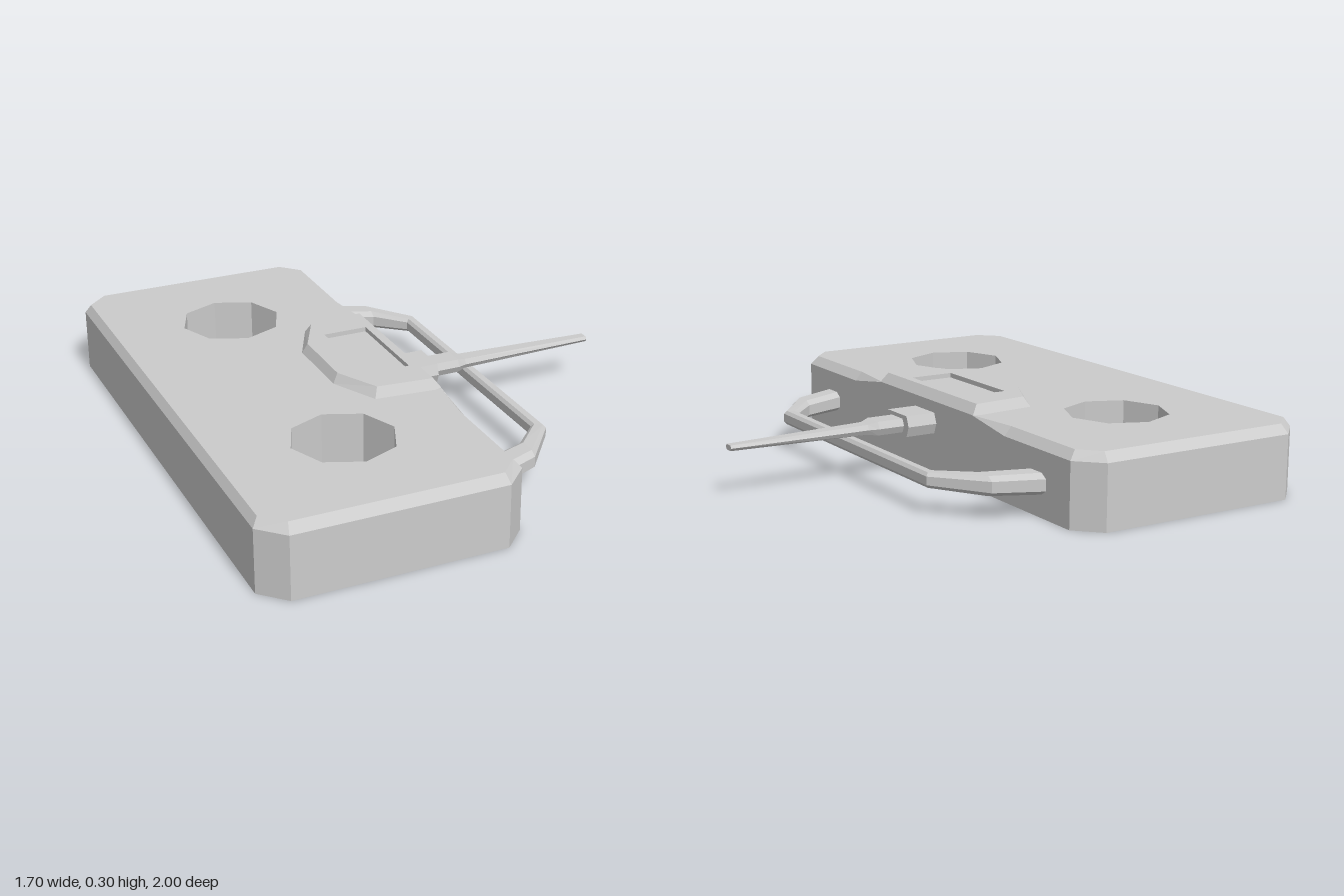
import * as THREE from 'three';

const material = new THREE.MeshStandardMaterial({ color: 0xcccccc, flatShading: true });

// Skin a list of equal rings of [x, y, z]; rings run counterclockwise about the path.
function loft(rings, capStart = false, capEnd = false) {
  const out = [];
  const tri = (a, b, c) => out.push(...a, ...b, ...c);
  const n = rings[0].length;
  for (let r = 0; r < rings.length - 1; r++) {
    const a = rings[r], b = rings[r + 1];
    for (let i = 0; i < n; i++) {
      const j = (i + 1) % n;
      tri(a[i], a[j], b[j]);
      tri(a[i], b[j], b[i]);
    }
  }
  const first = rings[0], last = rings[rings.length - 1];
  for (let i = 1; i < n - 1; i++) {
    if (capStart) tri(first[0], first[i + 1], first[i]);
    if (capEnd) tri(last[0], last[i], last[i + 1]);
  }
  const geometry = new THREE.BufferGeometry();
  geometry.setAttribute('position', new THREE.Float32BufferAttribute(out, 3));
  geometry.computeVertexNormals();
  return geometry;
}

// Upward-facing flat plate bounded by a ring, with optional ring holes.
function plate(ring, holes = []) {
  const points = (r) => r.map(([x, , z]) => new THREE.Vector2(x, -z));
  const shape = new THREE.Shape(points(ring));
  holes.forEach((h) => shape.holes.push(new THREE.Path(points(h))));
  return new THREE.ShapeGeometry(shape).rotateX(-Math.PI / 2).translate(0, ring[0][1], 0);
}

// Complete a half outline (z > 0) with its mirror image.
const mirrored = (half) => [...half, ...half.map(([x, y, z]) => [x, y, -z]).reverse()];
const atHeight = (ring, y) => ring.map(([x, , z]) => [x, y, z]);

function add(parent, name, ...geometries) {
  const group = new THREE.Group();
  group.name = name;
  geometries.forEach((g) => {
    const mesh = new THREE.Mesh(g, material);
    mesh.name = name;
    group.add(mesh);
  });
  parent.add(group);
}

export function createModel() {
  const model = new THREE.Group();
  model.name = 'handheldController';

  // Chamfered case; its top bevel fades out beside the display
  const shoulder = mirrored([
    [-0.85, 0.23, 0.915], [-0.765, 0.23, 1], [-0.01, 0.23, 1],
    [0.075, 0.23, 0.915], [0.075, 0.23, 0.53], [0.075, 0.262, 0.32],
  ]);
  const rim = mirrored([
    [-0.83, 0.262, 0.9], [-0.757, 0.262, 0.97], [-0.018, 0.262, 0.97],
    [0.048, 0.262, 0.9], [0.048, 0.262, 0.53], [0.072, 0.262, 0.32],
  ]);

  // Octagonal wells sunk in the top
  const well = (z, y) => Array.from({ length: 8 }, (_, i) => {
    const t = (i * Math.PI) / 4;
    return [-0.387 + 0.186 * Math.cos(t), y, z - 0.186 * Math.sin(t)];
  });
  const wells = [-0.535, 0.535];
  add(model, 'case', loft([atHeight(shoulder, 0), shoulder, rim], true),
    plate(rim, wells.map((z) => well(z, 0.262))));
  wells.forEach((z) => add(model, z > 0 ? 'frontWell' : 'backWell',
    loft([well(z, 0.262), well(z, 0.05)], false, true).translate(0, 0, 0),
    plate(well(z, 0.05))));

  // Raised display housing with a recessed screen
  const podBase = mirrored([
    [-0.255, 0.262, 0.145], [-0.172, 0.262, 0.318], [0.048, 0.262, 0.338], [0.075, 0.262, 0.33],
  ]);
  const podTop = mirrored([
    [-0.236, 0.297, 0.137], [-0.156, 0.297, 0.296], [0.044, 0.297, 0.315], [0.05, 0.297, 0.313],
  ]);
  const screen = mirrored([[-0.148, 0.297, 0.187], [0.018, 0.297, 0.187]]);
  const screenFloor = atHeight(screen, 0.28);
  add(model, 'displayHousing', loft([podBase, podTop]), plate(podTop, [screen]));
  add(model, 'screen', loft([screen, screenFloor]), plate(screenFloor));

  // Hexagonal sections along x for the antenna parts
  const hex = (x, y, h, w, flat) => [
    [h, -flat], [h, flat], [0, w], [-h, flat], [-h, -flat], [0, -w],
  ].map(([dy, dz]) => [x, y + dy, dz]);
  add(model, 'antennaSocket', loft([
    hex(0.05, 0.182, 0.038, 0.082, 0.067), hex(0.19, 0.182, 0.038, 0.082, 0.067),
  ], true, true));
  add(model, 'antenna', loft([
    hex(0.18, 0.181, 0.025, 0.05, 0.038), hex(0.29, 0.181, 0.025, 0.05, 0.038),
    hex(0.325, 0.179, 0.018, 0.036, 0.026), hex(0.85, 0.177, 0.01, 0.023, 0.015),
  ], true, true));

  // Carry handle: bevelled section swept between inner and outer edges
  const section = (inner, outer, y0, y1) => {
    const b = 0.22;
    return [
      [1, b], [1, 1 - b], [1 - b, 1], [b, 1], [0, 1 - b], [0, b], [b, 0], [1 - b, 0],
    ].map(([u, o]) => [
      inner[0] + (outer[0] - inner[0]) * o,
      y0 + (y1 - y0) * u,
      inner[1] + (outer[1] - inner[1]) * o,
    ]);
  };
  const stations = [
    [[0.055, 0.673], [0.055, 0.788], 0.08, 0.155],
    [[0.24, 0.605], [0.24, 0.712], 0.083, 0.151],
    [[0.34, 0.503], [0.383, 0.535], 0.092, 0.145],
  ];
  const flip = ([x, z]) => [x, -z];
  const path = [...stations,
    ...stations.map(([i, o, a, b]) => [flip(i), flip(o), a, b]).reverse()];
  add(model, 'handle', loft(path.map((s) => section(...s)), true, true));

  return model;
}
